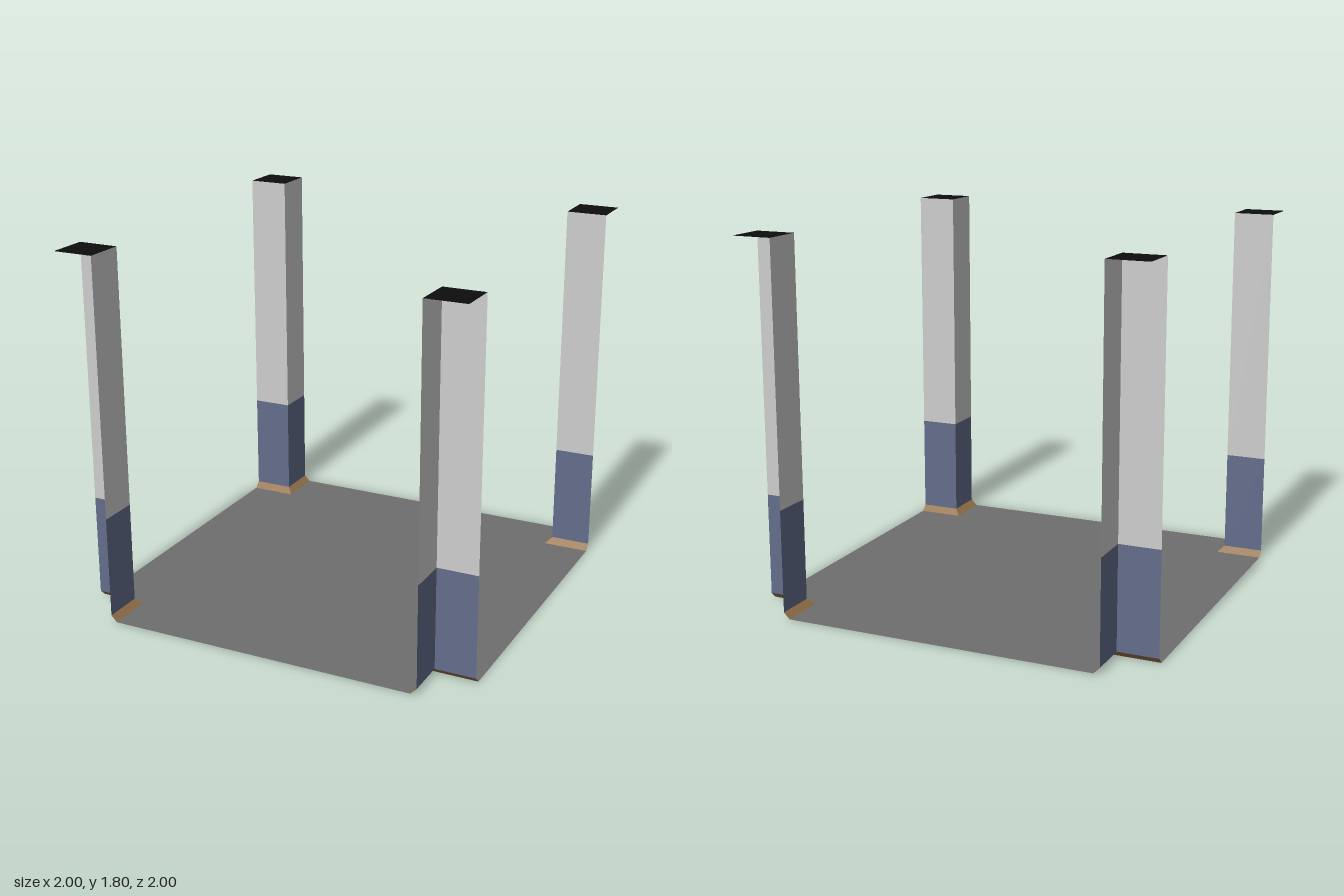
import * as THREE from 'three';

const paint = (name, color) => {
  const m = new THREE.MeshStandardMaterial({ color, side: THREE.DoubleSide });
  m.name = name;
  return m;
};

// Open L-shaped strip around a corner, between two edges (inner offset, height)
function cornerStrip(inset0, y0, inset1, y1) {
  const path = (d, y) => [[1, y, d], [d, y, d], [d, y, 1]];
  const low = path(inset0, y0), high = path(inset1, y1);
  const pos = [];
  for (let i = 0; i < 2; i++) {
    const a = low[i], b = low[i + 1], c = high[i + 1], d = high[i];
    pos.push(...a, ...b, ...c, ...a, ...c, ...d);
  }
  const g = new THREE.BufferGeometry();
  g.setAttribute('position', new THREE.Float32BufferAttribute(pos, 3));
  g.computeVertexNormals();
  return g;
}

export function createModel() {
  const model = new THREE.Group();
  model.name = 'crossroads';
  const floorGrey = paint('floor grey', 0x6e6e6e);
  const wallGrey = paint('wall light grey', 0xcecece);
  const wallBlue = paint('wall blue', 0x646d8c);
  const woodBrown = paint('skirting brown', 0x94724a);
  const capBlack = paint('cap black', 0x0d0d0d);

  const W = 0.8;   // wall plane
  const S = 0.77;  // foot of the skirting
  const add = (parent, name, geometry, material) => {
    const mesh = new THREE.Mesh(geometry, material);
    mesh.name = name;
    parent.add(mesh);
    return mesh;
  };

  // Cross-shaped floor with notched corners
  const outline = [[1, S], [S, S], [S, 1], [-S, 1], [-S, S], [-1, S],
    [-1, -S], [-S, -S], [-S, -1], [S, -1], [S, -S], [1, -S]];
  const shape = new THREE.Shape(outline.map(([x, y]) => new THREE.Vector2(x, y)));
  add(model, 'floor', new THREE.ShapeGeometry(shape).rotateX(-Math.PI / 2), floorGrey);

  // Four corner walls, open on the outside
  const skirting = cornerStrip(S, 0, W, 0.03);
  const lower = cornerStrip(W, 0.03, W, 0.53);
  const upper = cornerStrip(W, 0.53, W, 1.8);
  const cap = new THREE.PlaneGeometry(0.2, 0.2).rotateX(-Math.PI / 2).translate(0.9, 1.8, 0.9);
  for (let i = 0; i < 4; i++) {
    const corner = new THREE.Group();
    corner.name = 'cornerWall' + (i + 1);
    corner.rotation.y = i * Math.PI / 2;
    add(corner, 'skirting', skirting, woodBrown);
    add(corner, 'lowerWall', lower, wallBlue);
    add(corner, 'upperWall', upper, wallGrey);
    add(corner, 'wallCap', cap, capBlack);
    model.add(corner);
  }
  return model;
}
